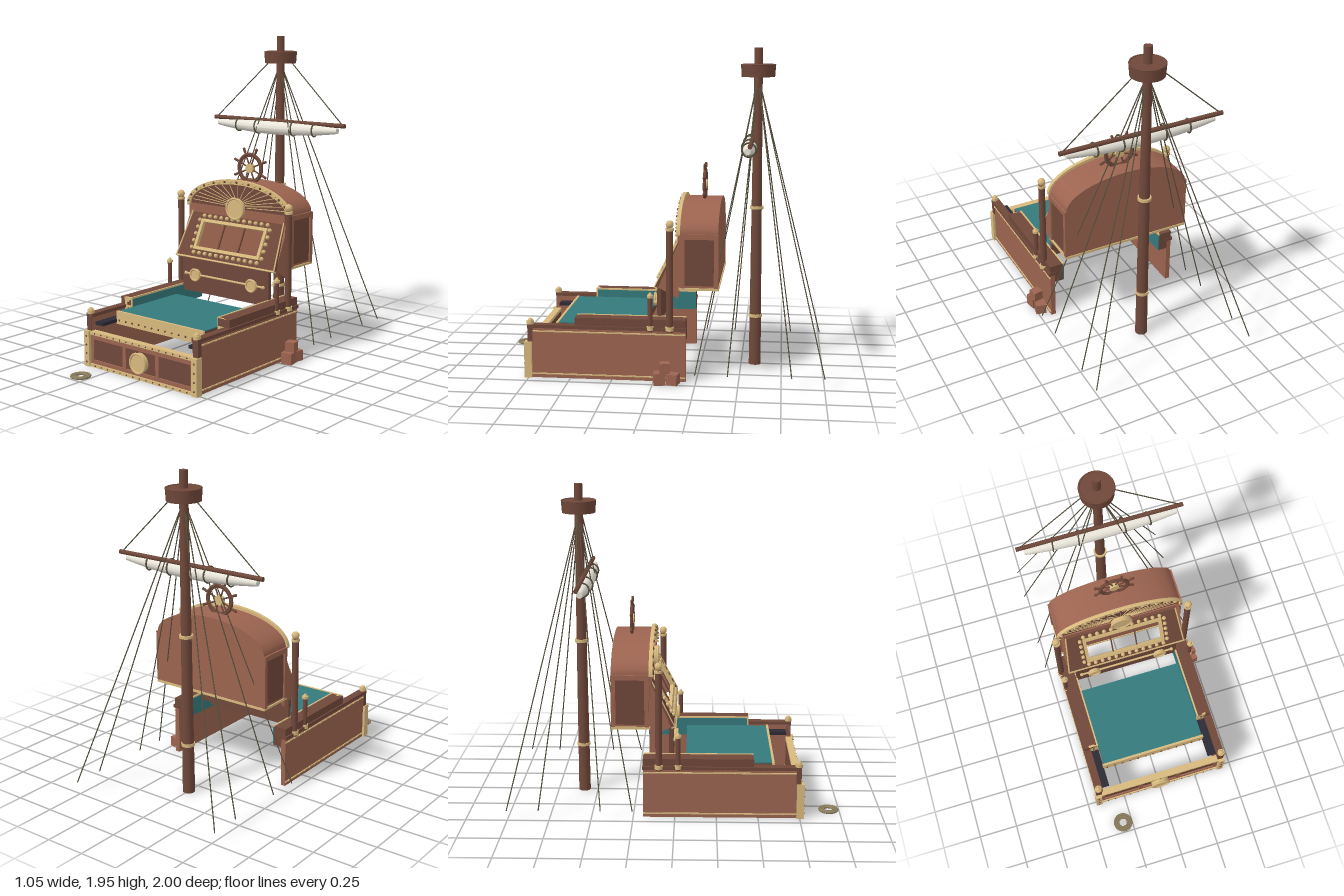
import * as THREE from 'three';
import { toCreasedNormals } from 'three/addons/utils/BufferGeometryUtils.js';

const material = (color, extra = {}) => new THREE.MeshStandardMaterial({ color, ...extra });
const WOOD = material(0x9c6450), DARK = material(0x70483a), GOLD = material(0xd8b97e), TEAL = material(0x35797c),
  SAIL = material(0xe9e5da), ROPE = material(0x5a5340), BLACK = material(0x2c2a36), COIL = material(0x8a7c5c);

function add(parent, name, geometry, mat, x = 0, y = 0, z = 0) {
  const mesh = new THREE.Mesh(geometry, mat);
  mesh.name = name;
  mesh.position.set(x, y, z);
  parent.add(mesh);
  return mesh;
}
// Box given by its extents
const box = (p, name, mat, x0, x1, y0, y1, z0, z1) =>
  add(p, name, new THREE.BoxGeometry(Math.abs(x1 - x0), y1 - y0, Math.abs(z1 - z0)), mat, (x0 + x1) / 2, (y0 + y1) / 2, (z0 + z1) / 2);
const ball = (p, name, mat, r, x, y, z) => add(p, name, new THREE.SphereGeometry(r, 10, 8), mat, x, y, z);
const post = (p, name, mat, r, x, z, y0, y1, r2 = r) =>
  add(p, name, new THREE.CylinderGeometry(r2, r, y1 - y0, 20), mat, x, (y0 + y1) / 2, z);
function rod(p, name, mat, r, a, b) {
  const A = new THREE.Vector3(...a), B = new THREE.Vector3(...b), d = B.clone().sub(A);
  const m = add(p, name, new THREE.CylinderGeometry(r, r, d.length(), 8), mat);
  m.position.copy(A).add(B).multiplyScalar(0.5);
  m.quaternion.setFromUnitVectors(new THREE.Vector3(0, 1, 0), d.normalize());
  return m;
}
const extrude = (shape, depth) =>
  toCreasedNormals(new THREE.ExtrudeGeometry(shape, { depth, bevelEnabled: false, curveSegments: 32 }), 0.5);
function rect(w, h, Type = THREE.Shape) {
  return new Type([[-w, -h], [w, -h], [w, h], [-w, h]].map(c => new THREE.Vector2(...c)));
}
// Round brass plate facing the front
function disc(p, name, r, x, y, z, depth = 0.02) {
  add(p, name, new THREE.CylinderGeometry(r, r, depth, 32), GOLD, x, y, z).rotation.x = Math.PI / 2;
  add(p, name + 'Rim', new THREE.TorusGeometry(r, 0.007, 8, 32), GOLD, x, y, z + depth / 2);
}
const group = (parent, name) => {
  const g = new THREE.Group();
  g.name = name;
  parent.add(g);
  return g;
};

function buildCabinet(root) {
  const g = group(root, 'cabinet');
  for (const s of [-1, 1]) {
    // Side wall with rails, trims and lining
    box(g, 'sideWall', WOOD, s * 0.4, s * 0.43, 0, 0.31, -0.19, 0.75);
    box(g, 'wallRim', DARK, s * 0.39, s * 0.44, 0.305, 0.325, -0.193, 0.755);
    box(g, 'upperRail', DARK, s * 0.345, s * 0.43, 0.325, 0.372, -0.19, 0.47);
    box(g, 'railLining', TEAL, s * 0.338, s * 0.345, 0.25, 0.365, -0.19, 0.46);
    box(g, 'railUnderside', DARK, s * 0.345, s * 0.4, 0.25, 0.325, -0.19, 0.46);
    box(g, 'sideLedge', BLACK, s * 0.34, s * 0.4, 0.25, 0.27, 0.46, 0.72);
    box(g, 'railEdge', GOLD, s * 0.339, s * 0.349, 0.366, 0.376, -0.19, 0.47);
    for (const y of [0.285, 0.025]) {
      box(g, 'sideTrim', GOLD, s * 0.428, s * 0.435, y - 0.004, y + 0.004, -0.19, 0.75);
      for (let i = 0; i < 16; i++) ball(g, 'rivet', GOLD, 0.005, s * 0.435, y, -0.16 + i * 0.058);
    }
    // Front corner bracket
    box(g, 'cornerBracket', GOLD, s * 0.405, s * 0.445, 0, 0.22, 0.73, 0.775);
    for (let i = 0; i < 4; i++) ball(g, 'rivet', DARK, 0.006, s * 0.425, 0.03 + i * 0.053, 0.775);
    box(g, 'frontPost', DARK, s * 0.4, s * 0.437, 0.22, 0.32, 0.725, 0.755);
    post(g, 'frontCap', GOLD, 0.022, s * 0.418, 0.74, 0.322, 0.345);
    ball(g, 'frontKnob', GOLD, 0.016, s * 0.418, 0.345, 0.74);
    // Short and tall posts with brass ends
    for (const [z, top, r] of [[0.02, 0.52, 0.014], [-0.095, 0.92, 0.02]]) {
      post(g, 'post', DARK, r, s * 0.43, z, 0.3, top);
      post(g, 'postFoot', GOLD, r + 0.006, s * 0.43, z, 0.31, 0.335);
      post(g, 'postCollar', GOLD, r + 0.005, s * 0.43, z, top - 0.015, top);
      if (top > 0.6) ball(g, 'postBall', GOLD, 0.024, s * 0.43, top + 0.022, z);
      else post(g, 'postCap', GOLD, r, s * 0.43, z, top, top + 0.015, 0.006);
    }
    // Raised end of the apron
    box(g, 'apronEnd', GOLD, s * 0.34, s * 0.4, 0.24, 0.372, 0.455, 0.47);
    for (let i = 0; i < 3; i++) ball(g, 'rivet', DARK, 0.006, s * 0.37, 0.27 + i * 0.035, 0.471);
  }
  // Front panel
  box(g, 'frontPanel', DARK, -0.41, 0.41, 0, 0.21, 0.725, 0.745);
  for (const x of [-0.395, -0.13, 0.13, 0.395]) box(g, 'frontStile', WOOD, x - 0.013, x + 0.013, 0.02, 0.2, 0.74, 0.756);
  for (const y of [0.03, 0.183]) box(g, 'frontRail', WOOD, -0.41, 0.41, y - 0.012, y + 0.012, 0.74, 0.756);
  for (const y of [0.01, 0.21]) {
    box(g, 'frontTrim', GOLD, -0.42, 0.42, y - 0.01, y + 0.01, 0.722, 0.765);
    for (let i = 0; i < 15; i++) ball(g, 'rivet', DARK, 0.005, -0.364 + i * 0.052, y, 0.765);
  }
  disc(g, 'frontMedallion', 0.058, 0, 0.105, 0.765, 0.03);
  // Table and its apron
  box(g, 'table', DARK, -0.337, 0.337, 0.27, 0.312, 0.065, 0.585);
  box(g, 'tableTop', TEAL, -0.337, 0.337, 0.312, 0.318, 0.065, 0.585);
  box(g, 'apron', GOLD, -0.345, 0.345, 0.24, 0.32, 0.585, 0.6);
  for (let i = 0; i < 13; i++) ball(g, 'rivet', DARK, 0.006, -0.318 + i * 0.053, 0.265, 0.601);
  // Back board with bar and discs
  box(g, 'backBoard', DARK, -0.345, 0.345, 0.335, 0.56, -0.035, -0.01);
  rod(g, 'bar', GOLD, 0.007, [-0.31, 0.45, -0.002], [0.31, 0.45, -0.002]);
  for (const s of [-1, 1]) {
    disc(g, 'barDisc', 0.036, s * 0.225, 0.45, 0.002);
    ball(g, 'barEnd', GOLD, 0.012, s * 0.31, 0.45, -0.002);
  }
}

function buildChest(root) {
  const g = group(root, 'domedChest');
  // Domed body
  const body = new THREE.Shape();
  body.moveTo(-0.4, 0.56);
  body.lineTo(0.4, 0.56);
  body.lineTo(0.4, 0.88);
  body.absellipse(0, 0.88, 0.4, 0.165, 0, Math.PI);
  add(g, 'chestBody', extrude(body, 0.225), WOOD, 0, 0, -0.375);
  box(g, 'chestBase', GOLD, -0.408, 0.408, 0.548, 0.562, -0.38, -0.145);
  for (const s of [-1, 1]) {
    box(g, 'sidePanel', DARK, s * 0.398, s * 0.403, 0.575, 0.85, -0.35, -0.18);
    for (const z of [-0.365, -0.165]) box(g, 'sideStile', WOOD, s * 0.398, s * 0.411, 0.562, 0.88, z - 0.012, z + 0.012);
    box(g, 'sideBand', WOOD, s * 0.398, s * 0.411, 0.85, 0.88, -0.377, -0.153);
  }
  // Arched trim, lunette and sunburst
  const lunette = new THREE.Shape().absellipse(0, 0.88, 0.39, 0.16, 0, Math.PI);
  add(g, 'lunette', extrude(lunette, 0.008), DARK, 0, 0, -0.152);
  const arch = new THREE.Shape();
  arch.absellipse(0, 0.875, 0.412, 0.19, 0, Math.PI);
  arch.absellipse(0, 0.875, 0.385, 0.16, Math.PI, 0, true);
  add(g, 'archTrim', extrude(arch, 0.022), GOLD, 0, 0, -0.153);
  for (let i = 0; i <= 26; i++) {
    const a = Math.PI * i / 26;
    ball(g, 'archBead', i % 2 ? DARK : GOLD, 0.008, 0.399 * Math.cos(a), 0.875 + 0.175 * Math.sin(a), -0.13);
  }
  for (let i = 1; i < 18; i++) {
    const a = Math.PI * i / 18, c = Math.cos(a), s = Math.sin(a);
    rod(g, 'sunRay', GOLD, 0.0025, [0.07 * c, 0.885 + 0.05 * s, -0.143], [0.37 * c, 0.88 + 0.15 * s, -0.143]);
  }
  box(g, 'crossPlank', WOOD, -0.37, 0.37, 0.825, 0.88, -0.155, -0.135);
  disc(g, 'chestMedallion', 0.065, 0, 0.885, -0.125, 0.025);

  // Wedge cheeks carrying the sloping front
  const cheek = new THREE.Shape([[0.15, 0.84], [0.02, 0.56], [0.14, 0.495], [0.155, 0.55]].map(c => new THREE.Vector2(...c)));
  for (const s of [-1, 1]) add(g, 'cheek', extrude(cheek, 0.025).rotateY(Math.PI / 2), WOOD, s * 0.378 - 0.0125);

  // Sloping front with window
  const f = group(g, 'slopingFront');
  f.position.set(0, 0.695, -0.08);
  f.rotation.x = -Math.atan2(0.14, 0.28);
  const panel = new THREE.Shape([[-0.395, -0.157], [0.395, -0.157], [0.365, 0.157], [-0.365, 0.157]].map(c => new THREE.Vector2(...c)));
  panel.holes.push(rect(0.25, 0.09, THREE.Path));
  add(f, 'frontBoard', extrude(panel, 0.02), DARK, 0, 0, -0.01);
  const frame = rect(0.262, 0.102);
  frame.holes.push(rect(0.242, 0.082, THREE.Path));
  add(f, 'windowFrame', extrude(frame, 0.025), GOLD, 0, 0, -0.002);
  for (const x of [-0.08, 0.08]) box(f, 'windowBar', DARK, x - 0.004, x + 0.004, -0.09, 0.09, -0.003, 0.006);
  box(f, 'bottomTrim', GOLD, -0.395, 0.395, -0.16, -0.15, -0.01, 0.014);
  for (const s of [-1, 1]) {
    rod(f, 'edgeTrim', GOLD, 0.005, [s * 0.39, -0.155, 0.01], [s * 0.362, 0.155, 0.01]);
    for (let i = 0; i < 12; i++) ball(f, 'lamp', GOLD, 0.013, -0.253 + i * 0.046, s * 0.123, 0.016);
    for (let i = 0; i < 5; i++) ball(f, 'lamp', GOLD, 0.013, s * 0.28, -0.092 + i * 0.046, 0.016);
  }

  // Steering wheel
  const w = group(g, 'steeringWheel');
  w.position.set(0, 1.125, -0.27);
  add(w, 'rim', new THREE.TorusGeometry(0.09, 0.01, 10, 40), DARK);
  add(w, 'rimInlay', new THREE.TorusGeometry(0.078, 0.005, 8, 40), DARK);
  add(w, 'hub', new THREE.CylinderGeometry(0.03, 0.03, 0.026, 24), GOLD).rotation.x = Math.PI / 2;
  for (let i = 0; i < 8; i++) {
    const a = i * Math.PI / 4 + Math.PI / 8, c = Math.cos(a), s = Math.sin(a);
    rod(w, 'spoke', DARK, 0.005, [0, 0, 0], [0.12 * c, 0.12 * s, 0]);
    rod(w, 'handle', DARK, 0.008, [0.105 * c, 0.105 * s, 0], [0.13 * c, 0.13 * s, 0]);
    ball(w, 'handleEnd', DARK, 0.009, 0.13 * c, 0.13 * s, 0);
  }
}

function buildMast(root) {
  const g = group(root, 'mast');
  const z = -0.585;
  post(g, 'mastPole', DARK, 0.037, 0, z, 0, 1.8, 0.026);
  post(g, 'mastTop', DARK, 0.025, 0, z, 1.8, 1.95);
  for (const y of [0.31, 0.985]) post(g, 'mastBand', GOLD, 0.041, 0, z, y - 0.009, y + 0.009);
  add(g, 'lookout', new THREE.CylinderGeometry(0.105, 0.1, 0.072, 40), DARK, 0, 1.813, z);
  add(g, 'lookoutRim', new THREE.TorusGeometry(0.1, 0.006, 8, 40), DARK, 0, 1.848, z).rotation.x = Math.PI / 2;
  // Yard with a furled sail, thinner and higher at its ends
  rod(g, 'yard', DARK, 0.014, [-0.52, 1.403, -0.555], [0.52, 1.403, -0.555]);
  const sail = new THREE.CylinderGeometry(1, 1, 0.95, 20, 24).rotateZ(Math.PI / 2);
  const p = sail.attributes.position;
  for (let i = 0; i < p.count; i++) {
    const t = (p.getX(i) / 0.475) ** 2, r = 0.042 - 0.024 * t;
    p.setXYZ(i, p.getX(i), p.getY(i) * r + 0.012 * t, p.getZ(i) * r);
  }
  sail.computeVertexNormals();
  add(g, 'furledSail', sail, SAIL, 0, 1.359, -0.54);
  for (const x of [-0.3, -0.14, 0.14, 0.3]) {
    const tie = add(g, 'sailTie', new THREE.TorusGeometry(0.049 - 0.09 * x * x, 0.005, 6, 24), ROPE, x, 1.365, -0.542);
    tie.rotation.set(0, Math.PI / 2 + 0.12 * Math.sign(x), 0);
  }
  for (const s of [-1, 1]) {
    rod(g, 'yardRope', ROPE, 0.0035, [s * 0.07, 1.8, z], [s * 0.5, 1.41, -0.555]);
    for (const ez of [-1, -0.81, -0.44, -0.25]) rod(g, 'shroud', ROPE, 0.0035, [0, 1.78, z], [s * 0.52, 0.07, ez]);
  }
}

export function createModel() {
  const root = new THREE.Group();
  root.name = 'shipCabinet';
  buildCabinet(root);
  buildChest(root);
  buildMast(root);
  // Crates beside the cabinet
  for (const [x, y, z, size, turn] of [[0.48, 0.035, -0.04, 0.07, 0.15], [0.475, 0.032, -0.12, 0.064, -0.25], [0.48, 0.1, -0.07, 0.06, 0.2]])
    add(root, 'crate', new THREE.BoxGeometry(size, size, size), WOOD, x, y, z).rotation.y = turn;
  // Coil of rope on the ground
  const coil = group(root, 'ropeCoil');
  coil.position.set(-0.31, 0.007, 0.935);
  for (const r of [0.031, 0.043, 0.055]) add(coil, 'ropeTurn', new THREE.TorusGeometry(r, 0.007, 8, 32), COIL).rotation.x = Math.PI / 2;
  return root;
}
